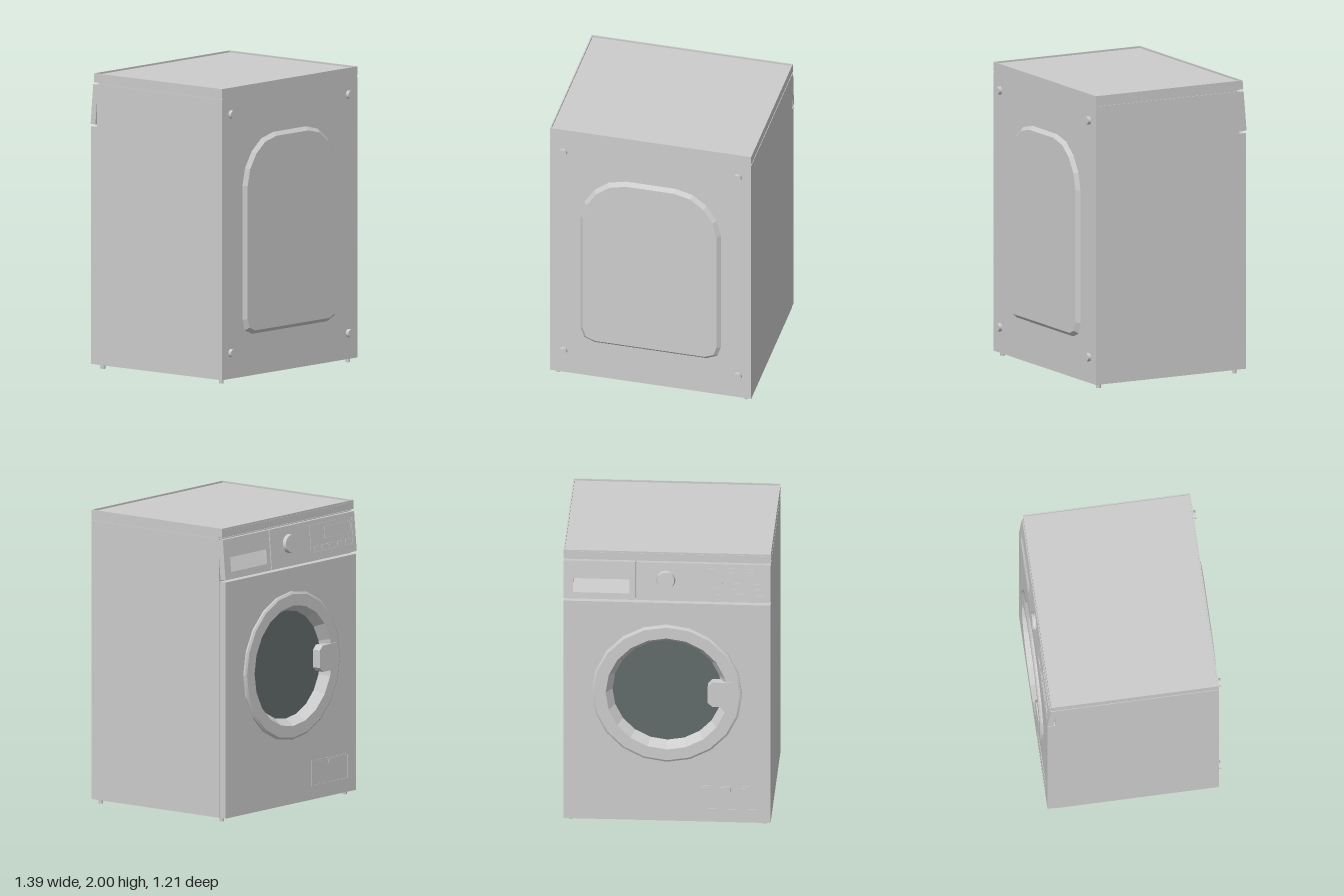
import * as THREE from 'three';
import { toCreasedNormals } from 'three/addons/utils/BufferGeometryUtils.js';

const enamel = new THREE.MeshStandardMaterial({ color: 0xcccccc });
enamel.name = 'grey enamel';
const darkGlass = new THREE.MeshStandardMaterial({ color: 0x626a6a });
darkGlass.name = 'dark door glass';

const W = 0.695; // half width

function add(parent, name, geometry, x = 0, y = 0, z = 0, material = enamel) {
  const mesh = new THREE.Mesh(geometry, material);
  mesh.name = name;
  mesh.position.set(x, y, z);
  parent.add(mesh);
  return mesh;
}

// box given by its limits on each axis
function block(parent, name, x0, x1, y0, y1, z0, z1) {
  return add(parent, name, new THREE.BoxGeometry(x1 - x0, y1 - y0, z1 - z0),
    (x0 + x1) / 2, (y0 + y1) / 2, (z0 + z1) / 2);
}

function polygon(points) {
  return new THREE.Shape(points.map(([x, y]) => new THREE.Vector2(x, y)));
}

function rect(x0, x1, y0, y1) {
  return polygon([[x0, y0], [x1, y0], [x1, y1], [x0, y1]]);
}

// flat plate with optional holes, its front at local z = 0
function plate(shape, depth, holes = []) {
  shape.holes.push(...holes);
  return new THREE.ExtrudeGeometry(shape, { depth, bevelEnabled: false, curveSegments: 20 })
    .translate(0, 0, -depth);
}

// thin raised outline around a rectangle
function frame(parent, name, x0, x1, y0, y1, z, t = 0.006) {
  add(parent, name, plate(rect(x0, x1, y0, y1), 0.006, [rect(x0 + t, x1 - t, y0 + t, y1 - t)]), 0, 0, z);
}

function disc(r0, r1, depth, sides) {
  return toCreasedNormals(new THREE.CylinderGeometry(r1, r0, depth, sides).rotateX(Math.PI / 2), 0.6);
}

function buildCabinet(model) {
  block(model, 'cabinet', -W, W, 0.03, 1.928, -0.525, 0.58);
  block(model, 'lidNeck', -W + 0.005, W - 0.005, 1.92, 1.945, -0.51, 0.58);
  block(model, 'lid', -W, W, 1.938, 1.988, -0.552, 0.58);
  const rim = plate(rect(-W, W, -0.58, 0.55), 0.012,
    [rect(-W + 0.008, W - 0.008, -0.572, 0.542)]).rotateX(-Math.PI / 2);
  add(model, 'lidRim', rim, 0, 2, 0);

  // pressed arched panel on the rear sheet
  const half = [[0.38, 0.335], [0.44, 0.36], [0.46, 0.42], [0.46, 1.32],
    [0.435, 1.43], [0.37, 1.53], [0.28, 1.6], [0.165, 1.628]];
  const outline = polygon([...half, ...half.map(([x, y]) => [-x, y]).reverse()]);
  add(model, 'pressedPanel', new THREE.ExtrudeGeometry(outline, {
    depth: 0.01, bevelEnabled: true, bevelSegments: 1, bevelSize: 0.025, bevelThickness: 0.025,
  }), 0, 0, 0.57);

  for (const side of [-1, 1]) {
    for (const y of [0.205, 1.82]) {
      add(model, 'transportBolt', disc(0.028, 0.028, 0.03, 16), side * 0.603, y, 0.59);
    }
    for (const z of [-0.51, 0.535]) {
      add(model, 'foot', new THREE.CylinderGeometry(0.016, 0.016, 0.04, 12), side * 0.65, 0.02, z);
    }
  }
}

// local +z points out of the door side, local +x is the model's right
function buildDoorSide(front) {
  const opening = new THREE.Path();
  opening.absarc(0, 0.975, 0.45, 0, Math.PI * 2);
  add(front, 'frontSheet', plate(rect(-W + 0.003, W - 0.003, 0.03, 1.637), 0.056, [opening]), 0, 0, 0.578);

  // door ring with sloping inner wall
  const profile = [[0.505, -0.002], [0.505, 0.012], [0.49, 0.021], [0.41, 0.021], [0.365, -0.05]]
    .map(([r, y]) => new THREE.Vector2(r, y));
  const ring = toCreasedNormals(new THREE.LatheGeometry(profile, 20).rotateX(Math.PI / 2), 0.25);
  add(front, 'doorRing', ring, 0, 0.975, 0.578);
  add(front, 'doorGlass', new THREE.CircleGeometry(0.372, 40), 0, 0.975, 0.532, darkGlass);

  const grip = polygon([[0.305, 0.89], [0.44, 0.89], [0.44, 1.07], [0.305, 1.07], [0.275, 1.04], [0.275, 0.92]]);
  add(front, 'doorHandle', plate(grip, 0.06), 0, 0, 0.605);

  // pump filter flap
  frame(front, 'filterFlapSeam', 0.22, 0.6, 0.12, 0.295, 0.581);
  block(front, 'filterFlap', 0.232, 0.588, 0.132, 0.283, 0.575, 0.58);
  block(front, 'filterLatch', 0.395, 0.425, 0.255, 0.283, 0.575, 0.583);
}

function buildControls(front) {
  const panel = new THREE.Group();
  panel.name = 'controlPanel';
  panel.position.set(0, 1.79, 0.5685);
  panel.rotation.x = -0.085;
  front.add(panel);

  // detergent drawer with a scooped grip
  add(panel, 'drawerFront', plate(rect(-W, -0.211, -0.135, 0.135), 0.042, [rect(-0.63, -0.25, -0.09, 0.01)]));
  const scoop = add(panel, 'drawerScoop', new THREE.BoxGeometry(0.38, 0.108, 0.004), -0.44, -0.04, -0.02);
  scoop.rotation.x = -0.34;

  add(panel, 'controlFascia', plate(rect(-0.203, W, -0.135, 0.135), 0.042));
  add(panel, 'programDial', disc(0.065, 0.058, 0.026, 24), -0.008, 0.015, 0.01);

  // display and its row of buttons
  frame(panel, 'displayFrame', 0.215, 0.665, -0.085, 0.105, 0.003);
  frame(panel, 'displayScreen', 0.37, 0.645, -0.005, 0.08, 0.003, 0.004);
  for (let i = 0; i < 5; i++) {
    const x = 0.25 + i * 0.082;
    block(panel, 'button', x, x + 0.06, -0.068, -0.04, -0.002, 0.005);
  }
}

export function createModel() {
  const model = new THREE.Group();
  model.name = 'washingMachine';
  buildCabinet(model);
  const front = new THREE.Group();
  front.name = 'doorSide';
  front.rotation.y = Math.PI;
  model.add(front);
  buildDoorSide(front);
  buildControls(front);
  return model;
}
